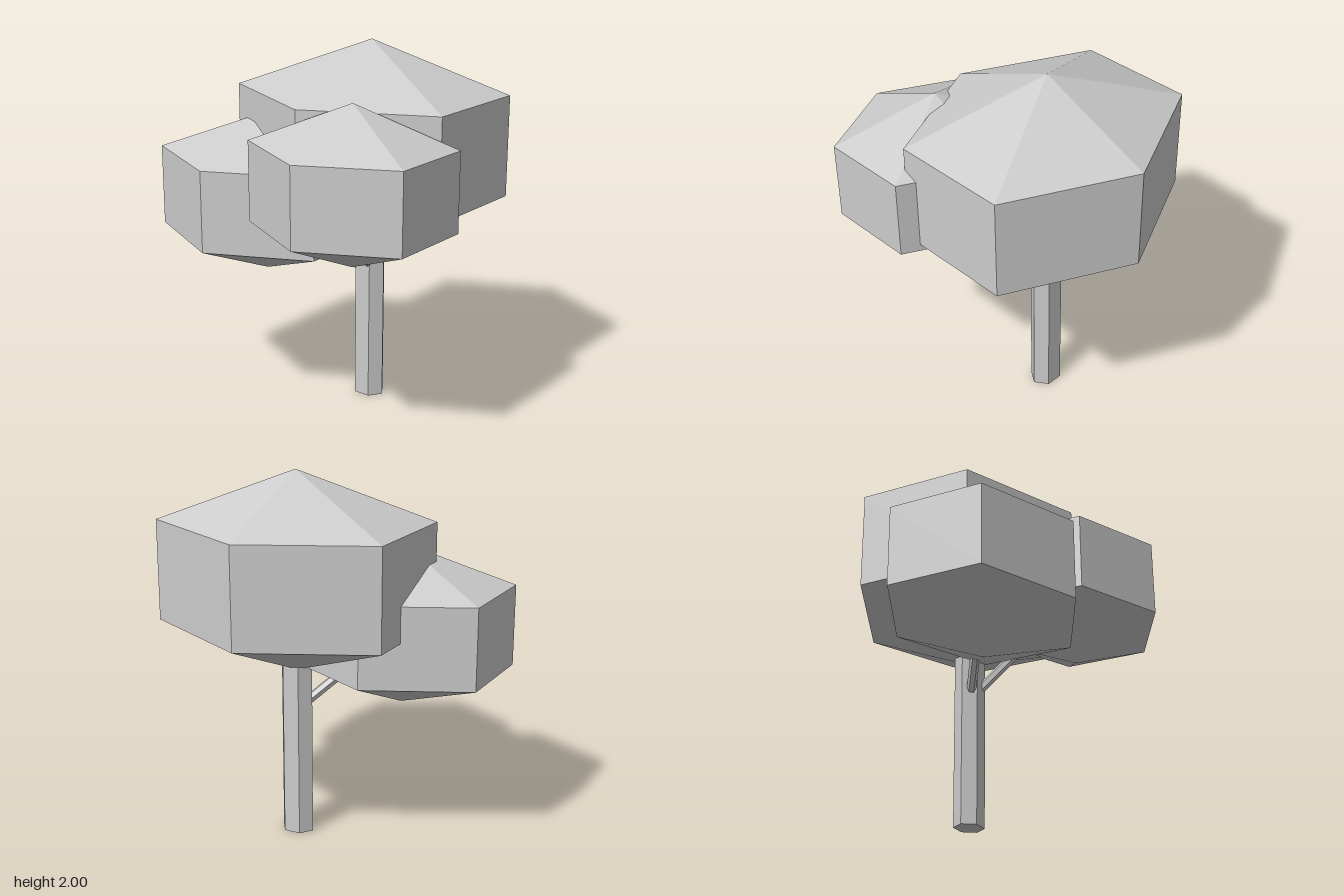
import * as THREE from 'three';

const material = new THREE.MeshStandardMaterial({ color: 0xcccccc, flatShading: true });
const UP = new THREE.Vector3(0, 1, 0);

// Six-sided crown: straight wall with a shallow cone above and below
function makeCrown(name, { x, y, z, radius, depth, wall, cone }) {
  const h = wall / 2;
  const profile = [[0, -h - cone], [radius, -h], [radius, h], [0, h + cone]]
    .map(([r, py]) => new THREE.Vector2(r, py));
  const geometry = new THREE.LatheGeometry(profile, 6, Math.PI / 2);
  geometry.scale(1, 1, depth / (radius * Math.sin(Math.PI / 3)));
  const mesh = new THREE.Mesh(geometry, material);
  mesh.name = name;
  mesh.position.set(x, y, z);
  return mesh;
}

// Thin six-sided limb running between two points
function makeBranch(name, from, to, radius) {
  const axis = to.clone().sub(from);
  const mesh = new THREE.Mesh(new THREE.CylinderGeometry(radius, radius, axis.length(), 6), material);
  mesh.name = name;
  mesh.position.copy(from).addScaledVector(axis, 0.5);
  mesh.quaternion.setFromUnitVectors(UP, axis.normalize());
  return mesh;
}

export function createModel() {
  const tree = new THREE.Group();
  tree.name = 'tree';

  // Trunk, slightly deeper than wide
  const trunkHeight = 1.2;
  const trunk = new THREE.Mesh(new THREE.CylinderGeometry(0.0925, 0.0925, trunkHeight, 6), material);
  trunk.name = 'trunk';
  trunk.scale.x = 0.86;
  trunk.position.set(0.18, trunkHeight / 2, 0.127);
  tree.add(trunk);

  // Crowns
  const main = makeCrown('mainCrown',
    { x: 0.18, y: 1.4625, z: 0.125, radius: 0.63, depth: 0.655, wall: 0.54, cone: 0.2675 });
  const side = makeCrown('sideCrown',
    { x: -0.34, y: 1.364, z: 0.398, radius: 0.475, depth: 0.472, wall: 0.42, cone: 0.21 });
  const back = makeCrown('backCrown',
    { x: -0.1375, y: 1.164, z: -0.34, radius: 0.5125, depth: 0.535, wall: 0.44, cone: 0.219 });
  tree.add(main, side, back);

  // Branches reaching from the trunk into the two smaller crowns
  tree.add(
    makeBranch('sideBranch', new THREE.Vector3(0.18, 0.72, 0.127), side.position, 0.026),
    makeBranch('backBranch', new THREE.Vector3(0.18, 0.7, 0.127), back.position, 0.026),
  );
  return tree;
}
